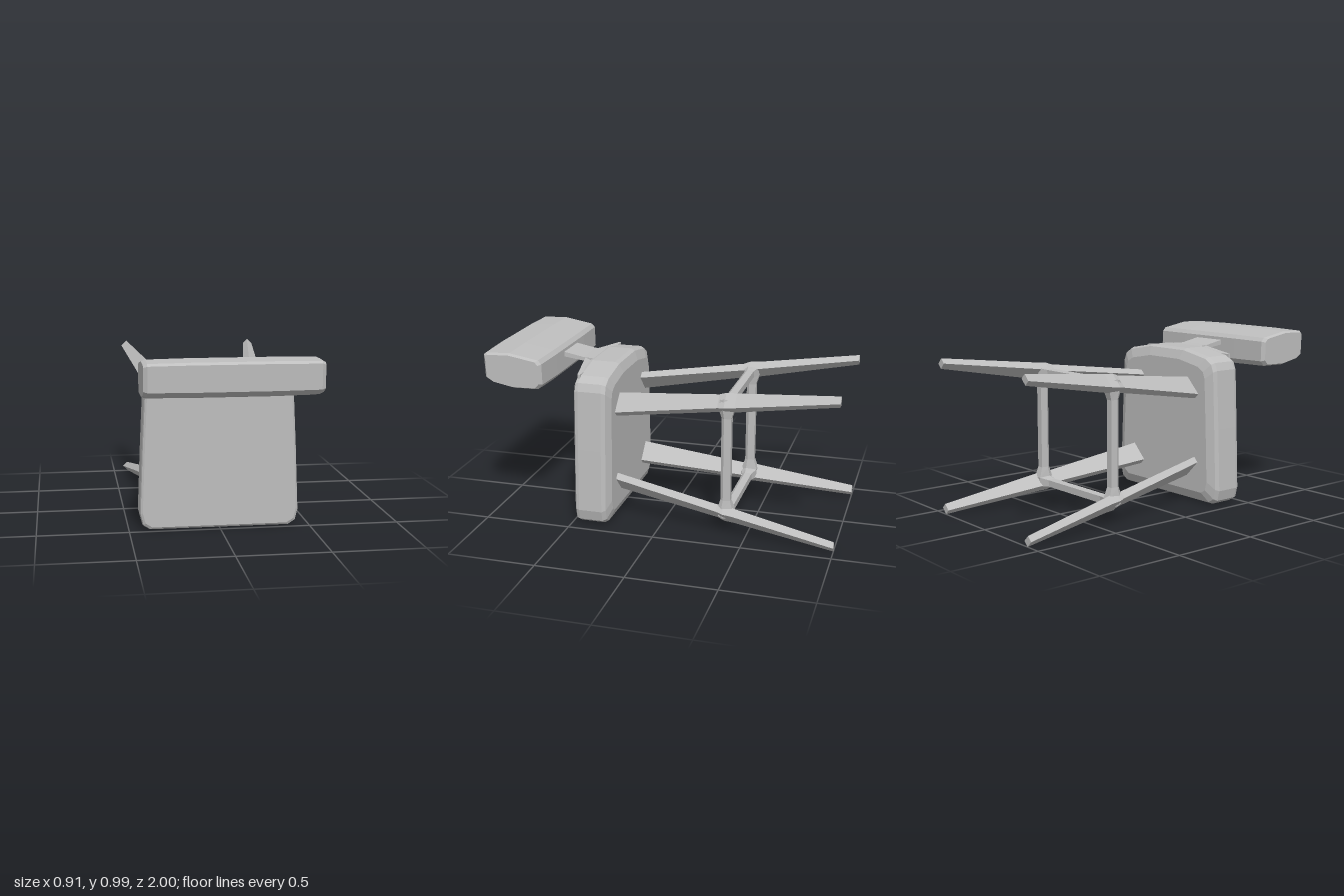
import * as THREE from 'three';

const greyPlastic = new THREE.MeshStandardMaterial({ color: 0xbebebe, flatShading: true });
greyPlastic.name = 'plain grey';

// Skins a list of equal-length point rings and caps both ends, facing outwards
function loft(rings) {
  const tris = [];
  const n = rings[0].length;
  for (let i = 0; i < rings.length - 1; i++) {
    for (let j = 0; j < n; j++) {
      const k = (j + 1) % n, a = rings[i], b = rings[i + 1];
      tris.push([a[j], a[k], b[k]], [a[j], b[k], b[j]]);
    }
  }
  const last = rings[rings.length - 1];
  for (let j = 1; j < n - 1; j++) {
    tris.push([rings[0][0], rings[0][j + 1], rings[0][j]], [last[0], last[j], last[j + 1]]);
  }
  let volume = 0;
  for (const [a, b, c] of tris) volume += a.dot(b.clone().cross(c));
  const pos = [];
  for (const [a, b, c] of tris) {
    for (const p of volume < 0 ? [a, c, b] : [a, b, c]) pos.push(p.x, p.y, p.z);
  }
  const g = new THREE.BufferGeometry();
  g.setAttribute('position', new THREE.Float32BufferAttribute(pos, 3));
  g.computeVertexNormals();
  return g;
}

const v = (x, y, z) => new THREE.Vector3(x, y, z);

function part(name, rings) {
  const m = new THREE.Mesh(loft(rings), greyPlastic);
  m.name = name;
  return m;
}

// Seat cushion: tapered outline with an arched top edge, bevelled front and back
function makeSeat() {
  const half = [[0.385, 0.005], [0.425, 0.03], [0.44, 0.09], [0.425, 0.45], [0.408, 0.79],
    [0.39, 0.835], [0.34, 0.865], [0.15, 0.9]];
  const outline = [...half, ...half.map(([x, y]) => [-x, y]).reverse()];
  const levels = [[0.275, 0.86], [0.297, 0.975], [0.32, 1], [0.455, 1], [0.472, 0.99], [0.48, 0.965]];
  return part('seat', levels.map(([z, s]) =>
    outline.map(([x, y]) => v(x * s, 0.45 + (y - 0.45) * s, z))));
}

// Thin lip along the top of the seat, widening to the bracket
function makeLip() {
  const plan = [[0.36, 0.455], [0.36, 0.47], [0.11, 0.515], [-0.11, 0.515], [-0.36, 0.47], [-0.36, 0.455]];
  return part('seatLip', [0, 1].map(top => plan.map(([x, z]) =>
    v(x, (top ? 0.898 : 0.872) - (Math.abs(x) > 0.2 ? 0.025 : 0), z))));
}

// Flat bracket from seat to backrest
function makeBracket() {
  const path = [[0.44, 0.885, 0.01], [0.53, 0.89, 0.011], [0.68, 0.915, 0.015]];
  return part('backrestBracket', path.map(([z, y, h]) =>
    [v(-0.105, y - h, z), v(0.105, y - h, z), v(0.105, y + h, z), v(-0.105, y + h, z)]));
}

// Padded backrest: one side profile carried across x, shrinking at the ends
function makeBackrest() {
  const profile = [[1.0, 0.975], [0.985, 0.987], [0.84, 0.992], [0.665, 0.962], [0.645, 0.94],
    [0.642, 0.82], [0.67, 0.79], [0.82, 0.787], [0.95, 0.812], [0.995, 0.84]];
  const stations = [[-0.455, 0.88], [-0.435, 0.965], [-0.22, 1], [0.22, 1], [0.435, 0.965], [0.455, 0.88]];
  return part('backrest', stations.map(([x, s]) =>
    profile.map(([z, y]) => v(x, 0.89 + (y - 0.89) * s, 0.825 + (z - 0.825) * s))));
}

// Centre of a leg at depth z, for its side (sx) and its upper or lower row (sy)
function legCentre(sx, sy, z) {
  const t = (0.28 - z) / 1.28;
  return v(sx * (0.24 + 0.17 * t), 0.447 + sy * (0.233 + 0.18 * t), z);
}

// Splayed leg: a wide thin blade at the seat, narrowing to a square foot
function makeLeg(sx, sy) {
  const radial = v(sx, sy, 0).normalize();
  const across = v(-sy, sx, 0).normalize();
  const stations = [[0.29, 0.13, 0.04], [-0.33, 0.085, 0.045], [-0.37, 0.095, 0.06],
    [-0.43, 0.09, 0.05], [-1, 0.046, 0.038]];
  return part('leg', stations.map(([z, w, t]) => {
    const c = legCentre(sx, sy, z);
    return [[1, 1], [-1, 1], [-1, -1], [1, -1]].map(([a, b]) =>
      c.clone().addScaledVector(across, a * w / 2).addScaledVector(radial, b * t / 2));
  }));
}

// Stretcher between two legs, flaring into the joints
function makeRung(name, a, b) {
  const dir = b.clone().sub(a);
  const length = dir.length();
  dir.normalize();
  const depth = v(0, 0, 1);
  const side = dir.clone().cross(depth);
  const stations = [[-0.02, 0.038, 0.025], [0.025, 0.047, 0.032], [0.085, 0.028, 0.024]];
  const all = [...stations, ...stations.map(([d, h, w]) => [length - d, h, w]).reverse()];
  const section = [[1, 0.45], [0.4, 1], [-1, 0.8], [-1, -0.8], [0.4, -1], [1, -0.45]];
  return part(name, all.map(([d, h, w]) => section.map(([p, q]) =>
    a.clone().addScaledVector(dir, d).addScaledVector(depth, p * h).addScaledVector(side, q * w))));
}

export function createModel() {
  const model = new THREE.Group();
  model.name = 'tippedChair';
  model.add(makeSeat(), makeLip(), makeBracket(), makeBackrest());
  const rungZ = -0.378;
  for (const s of [-1, 1]) {
    for (const sy of [-1, 1]) model.add(makeLeg(s, sy));
    model.add(makeRung('sideRung', legCentre(s, -1, rungZ), legCentre(s, 1, rungZ)));
    model.add(makeRung('crossRung', legCentre(-1, s, rungZ), legCentre(1, s, rungZ)));
  }
  return model;
}
